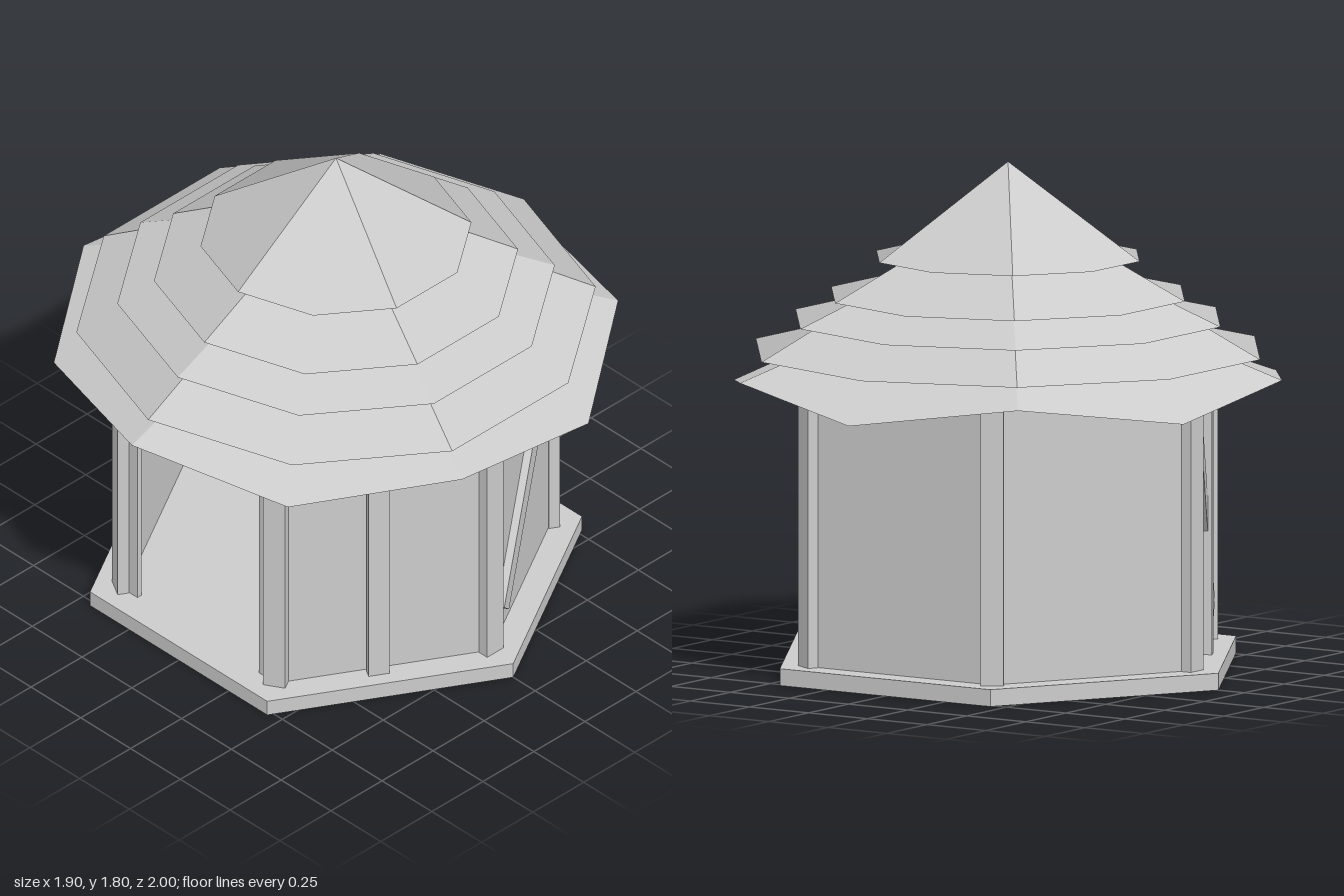
import * as THREE from 'three';

const DEG = Math.PI / 180;
const solid = new THREE.MeshStandardMaterial({ color: 0xcccccc, flatShading: true });
const thatch = new THREE.MeshStandardMaterial({ color: 0xcccccc, side: THREE.DoubleSide });

const FLOOR = 0.06, WALL_TOP = 1.03;
const WALL_APOTHEM = 0.675, WALL_HALF = 0.39, WALL_THICK = 0.02;

function add(parent, name, geometry, x = 0, y = 0, z = 0, material = solid) {
  const mesh = new THREE.Mesh(geometry, material);
  mesh.name = name;
  mesh.position.set(x, y, z);
  parent.add(mesh);
  return mesh;
}

// Group turned so that its local +z points outward at the given azimuth
function facing(parent, name, degrees) {
  const group = new THREE.Group();
  group.name = name;
  group.rotation.y = degrees * DEG;
  parent.add(group);
  return group;
}

function upright(parent, name, width, depth, x, z, top = WALL_TOP) {
  const h = top - FLOOR;
  return add(parent, name, new THREE.BoxGeometry(width, h, depth), x, FLOOR + h / 2, z);
}

// Flat wall panel, optionally with a doorway cut up from the floor
function wallGeometry(doorway) {
  const w = WALL_HALF;
  const points = [[-w, FLOOR]];
  if (doorway) points.push([-0.305, FLOOR], [-0.305, 0.945], [0.305, 0.945], [0.305, FLOOR]);
  points.push([w, FLOOR], [w, WALL_TOP], [-w, WALL_TOP]);
  const shape = new THREE.Shape(points.map(([x, y]) => new THREE.Vector2(x, y)));
  return new THREE.ExtrudeGeometry(shape, { depth: WALL_THICK, bevelEnabled: false });
}

// One roof tier: five sloping faces, each with a pointed eave that shares its shading
function tierGeometry({ r, y, topR, topY, eaveY }) {
  const positions = [], normals = [];
  const at = (degrees, radius, height) => new THREE.Vector3(
    Math.sin(degrees * DEG) * radius, height, Math.cos(degrees * DEG) * radius);
  for (let k = 0; k < 5; k++) {
    const a = k * 72;
    const v0 = at(a, r, y), v1 = at(a + 36, r, eaveY[k]), v2 = at(a + 72, r, y);
    const u0 = at(a, topR, topY), u2 = at(a + 72, topR, topY);
    const normal = v2.clone().sub(v0).cross(u2.clone().sub(v0)).normalize();
    const corners = [v0, v1, v2, v0, v2, u2];
    if (topR > 0) corners.push(v0, u2, u0);
    for (const p of corners) {
      positions.push(p.x, p.y, p.z);
      normals.push(normal.x, normal.y, normal.z);
    }
  }
  const geometry = new THREE.BufferGeometry();
  geometry.setAttribute('position', new THREE.Float32BufferAttribute(positions, 3));
  geometry.setAttribute('normal', new THREE.Float32BufferAttribute(normals, 3));
  return geometry;
}

export function createModel() {
  const hut = new THREE.Group();
  hut.name = 'hut';

  // Hexagonal floor slab
  const slab = add(hut, 'floorSlab', new THREE.CylinderGeometry(0.89, 0.89, FLOOR, 6), 0, FLOOR / 2, 0);
  slab.rotation.y = 30 * DEG;

  // Six walls with the doorway in front, and a post on every corner
  for (let k = 0; k < 6; k++) {
    const side = facing(hut, 'wallSide', k * 60);
    add(side, k === 0 ? 'doorWall' : 'wall', wallGeometry(k === 0), 0, 0, WALL_APOTHEM - WALL_THICK);

    const corner = facing(hut, 'corner', k * 60 + 30);
    upright(corner, 'cornerPost', 0.08, 0.04, 0, 0.78);
  }

  // Middle posts on the two walls beside the door
  for (const [azimuth, offset] of [[60, -0.027], [300, 0.027]]) {
    upright(facing(hut, 'middlePostSide', azimuth), 'middlePost', 0.075, 0.03, offset, 0.703);
  }

  // Diagonal braces
  for (const [azimuth, offset, lean] of [[120, 0.025, 1], [300, 0, -1]]) {
    const side = facing(hut, 'braceSide', azimuth);
    const brace = add(side, 'brace', new THREE.BoxGeometry(0.975, 0.08, 0.03), offset, 0.548, 0.688);
    brace.rotation.z = lean * 49.8 * DEG;
  }

  // Pole carrying the roof
  upright(hut, 'centrePole', 0.075, 0.075, 0, 0, 1.5);

  // Stepped roof, from the eaves to the peak: radius, height, rise of the ridge, inner radius
  const tiers = [
    [1.0, 1.065, 0.37, 0.72],
    [0.92, 1.135, 0.54, 0.64],
    [0.775, 1.245, 0.44, 0.5],
    [0.645, 1.33, 0.53, 0.33],
    [0.48, 1.465, 0.698, 0],
  ];
  const roof = new THREE.Group();
  roof.name = 'roof';
  hut.add(roof);
  tiers.forEach(([r, y, rise, topR], i) => {
    const eaveY = i === 0 ? [1.01, 0.985, 0.985, 0.985, 1.01] : Array(5).fill(y);
    const topY = y + (r - topR) * rise;
    add(roof, 'roofTier', tierGeometry({ r, y, topR, topY, eaveY }), 0, 0, 0, thatch);
  });

  return hut;
}
